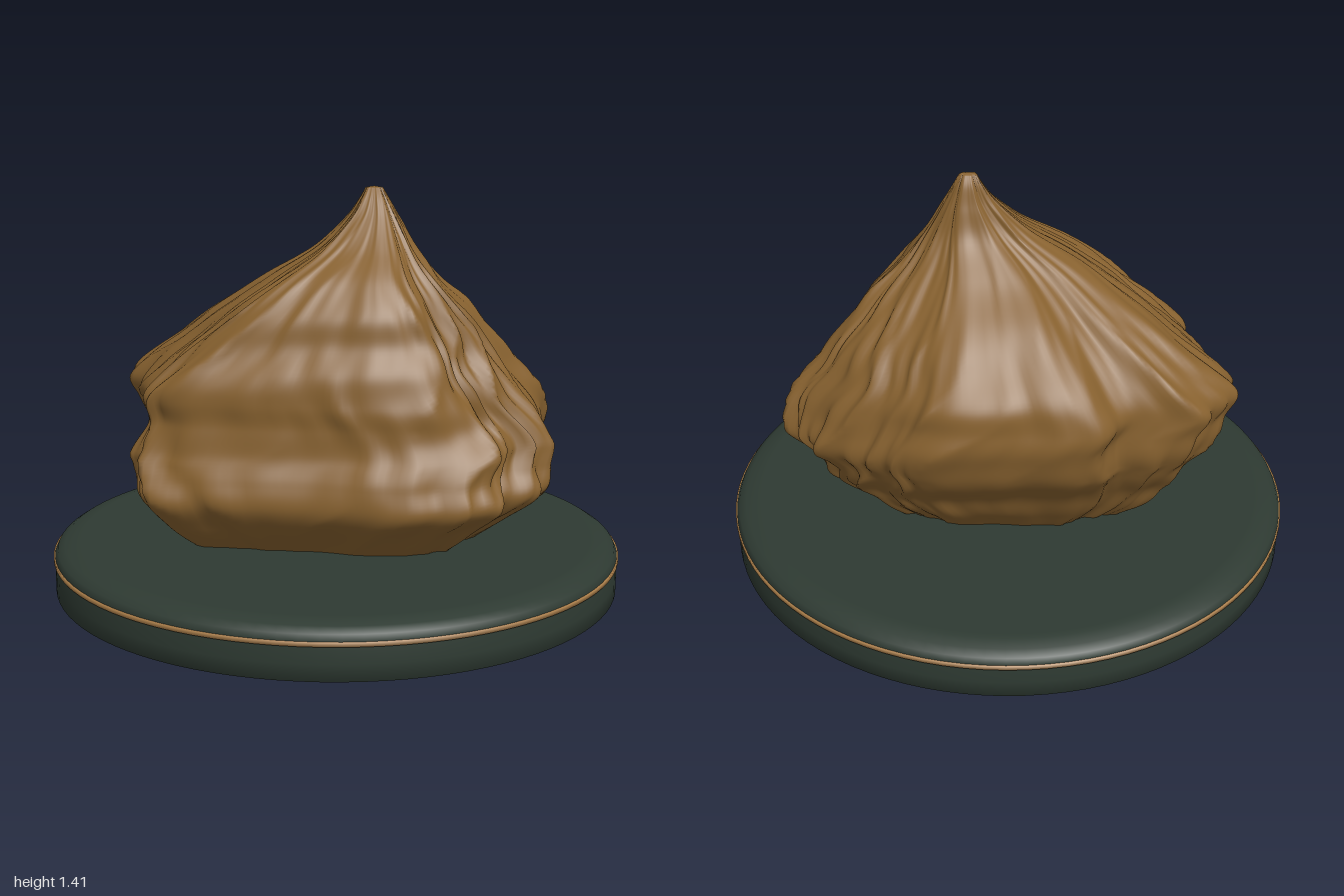
import * as THREE from 'three';

const rockMat = new THREE.MeshStandardMaterial({ color: 0x87612f });
const baseMat = new THREE.MeshStandardMaterial({ color: 0x2e3a32 });
const trimMat = new THREE.MeshStandardMaterial({ color: 0xa87c48 });
rockMat.name = 'brown rock';
baseMat.name = 'dark green base';
trimMat.name = 'bronze trim';

// Rock extents by height: y, min x, max x, back z, front z
const LEVELS = [
  [0.18, -0.46, 0.48, -0.31, 0.32], [0.28, -0.58, 0.61, -0.39, 0.42],
  [0.37, -0.65, 0.73, -0.44, 0.49], [0.46, -0.67, 0.73, -0.51, 0.47],
  [0.55, -0.70, 0.76, -0.56, 0.43], [0.63, -0.73, 0.74, -0.58, 0.41],
  [0.71, -0.77, 0.70, -0.58, 0.41], [0.80, -0.68, 0.62, -0.56, 0.39],
  [0.90, -0.55, 0.55, -0.48, 0.34], [1.00, -0.41, 0.46, -0.38, 0.31],
  [1.10, -0.25, 0.36, -0.25, 0.24], [1.20, -0.08, 0.28, -0.15, 0.13],
  [1.30, 0.03, 0.22, -0.11, 0.04], [1.37, 0.08, 0.18, -0.09, -0.01],
  [1.405, 0.10, 0.16, -0.07, -0.04],
];

// Plan outlines (x, z) of the lower and upper rock, matched point for point
const LOW = [
  [0.66, -0.2], [0.72, 0], [0.73, 0.17], [0.58, 0.26], [0.55, 0.4], [0.27, 0.49], [0, 0.45],
  [-0.3, 0.42], [-0.63, 0.36], [-0.67, 0.24], [-0.65, 0.1], [-0.62, -0.08], [-0.6, -0.22],
  [-0.53, -0.36], [-0.36, -0.4], [-0.24, -0.46], [0, -0.46], [0.27, -0.46], [0.38, -0.42],
  [0.52, -0.36], [0.61, -0.27],
];
const HIGH = [
  [0.765, -0.22], [0.71, 0], [0.66, 0.12], [0.53, 0.2], [0.49, 0.32], [0.25, 0.41], [0, 0.39],
  [-0.28, 0.37], [-0.58, 0.31], [-0.63, 0.2], [-0.65, 0.08], [-0.72, -0.1], [-0.77, -0.27],
  [-0.64, -0.44], [-0.4, -0.46], [-0.27, -0.57], [0, -0.58], [0.3, -0.57], [0.42, -0.48],
  [0.6, -0.4], [0.7, -0.28],
];

const AROUND = 240, UP = 110;

function sampleOutline(points) {
  const curve = new THREE.CatmullRomCurve3(points.map(([x, z]) => new THREE.Vector3(x, 0, z)), true);
  return Array.from({ length: AROUND }, (_, i) => curve.getPoint(i / AROUND));
}

// Slanting folds, strongest on the two ends of the rock
function folds(u, y, x) {
  const a = u * Math.PI * 2;
  const warp = 0.5 * Math.sin(3 * a + 5 * y) + 0.35 * Math.sin(7 * a - 9 * y);
  const ridge = 1 - 2 * Math.abs(Math.sin(11 * a + 4 * y + 2 * warp));
  const fine = Math.sin(37 * a - 9 * y + 3 * warp) + 0.6 * Math.sin(53 * a + 14 * y + 2 * warp);
  const lumps = Math.sin(9 * a + 17 * y + warp) * Math.sin(5 * a - 21 * y);
  const ends = 0.35 + 0.65 * THREE.MathUtils.smoothstep(Math.abs(x), 0.2, 0.55);
  return ends * (0.016 * ridge + 0.007 * fine) + 0.009 * lumps;
}

function makeRock() {
  const low = sampleOutline(LOW), high = sampleOutline(HIGH);
  const columns = [1, 2, 3, 4].map(
    (k) => new THREE.SplineCurve(LEVELS.map((r) => new THREE.Vector2(r[0], r[k]))));
  const positions = [], index = [];

  // Stack cross-sections fitted to the extents at each height
  for (let j = 0; j <= UP; j++) {
    const [left, right, back, front] = columns.map((c) => c.getPoint(j / UP));
    const y = left.y === undefined ? 0 : left.x;
    const blend = THREE.MathUtils.smoothstep(y, 0.38, 0.72);
    const ring = low.map((p, i) => p.clone().lerp(high[i], blend));
    const box = new THREE.Box3().setFromPoints(ring);
    const cx = (left.y + right.y) / 2, cz = (back.y + front.y) / 2;
    ring.forEach((p, i) => {
      const x = THREE.MathUtils.mapLinear(p.x, box.min.x, box.max.x, left.y, right.y);
      const z = THREE.MathUtils.mapLinear(p.z, box.min.z, box.max.z, back.y, front.y);
      const s = 1 + 1.4 * folds(i / AROUND, y, p.x);
      positions.push(cx + (x - cx) * s, y, cz + (z - cz) * s);
    });
  }
  for (let j = 0; j < UP; j++) {
    for (let i = 0; i < AROUND; i++) {
      const a = j * AROUND + i, b = j * AROUND + (i + 1) % AROUND;
      index.push(a, a + AROUND, b, b, a + AROUND, b + AROUND);
    }
  }
  // Blunt tip
  const tip = positions.length / 3, last = UP * AROUND;
  positions.push(0.13, 1.41, -0.055);
  for (let i = 0; i < AROUND; i++) index.push(last + i, tip, last + (i + 1) % AROUND);

  const geometry = new THREE.BufferGeometry();
  geometry.setAttribute('position', new THREE.Float32BufferAttribute(positions, 3));
  geometry.setIndex(index);
  geometry.computeVertexNormals();
  return geometry;
}

function lathe(points) {
  return new THREE.LatheGeometry(points.map(([r, y]) => new THREE.Vector2(r, y)), 96);
}

export function createModel() {
  const model = new THREE.Group();
  const add = (name, geometry, material) => {
    const mesh = new THREE.Mesh(geometry, material);
    mesh.name = name;
    model.add(mesh);
  };

  // Round display base with bevelled rims
  add('base', lathe([
    [0, 0], [0.9, 0], [0.92, 0.002], [0.96, 0.012], [0.995, 0.026], [0.995, 0.08], [0.995, 0.15],
    [0.985, 0.17], [0.96, 0.186], [0.92, 0.195], [0.9, 0.196], [0, 0.196],
  ]), baseMat);

  // Thin band around the base
  add('trimBand', lathe([[0.985, 0.135], [1, 0.136], [1, 0.15], [0.985, 0.151]]), trimMat);

  add('rock', makeRock(), rockMat);
  return model;
}
